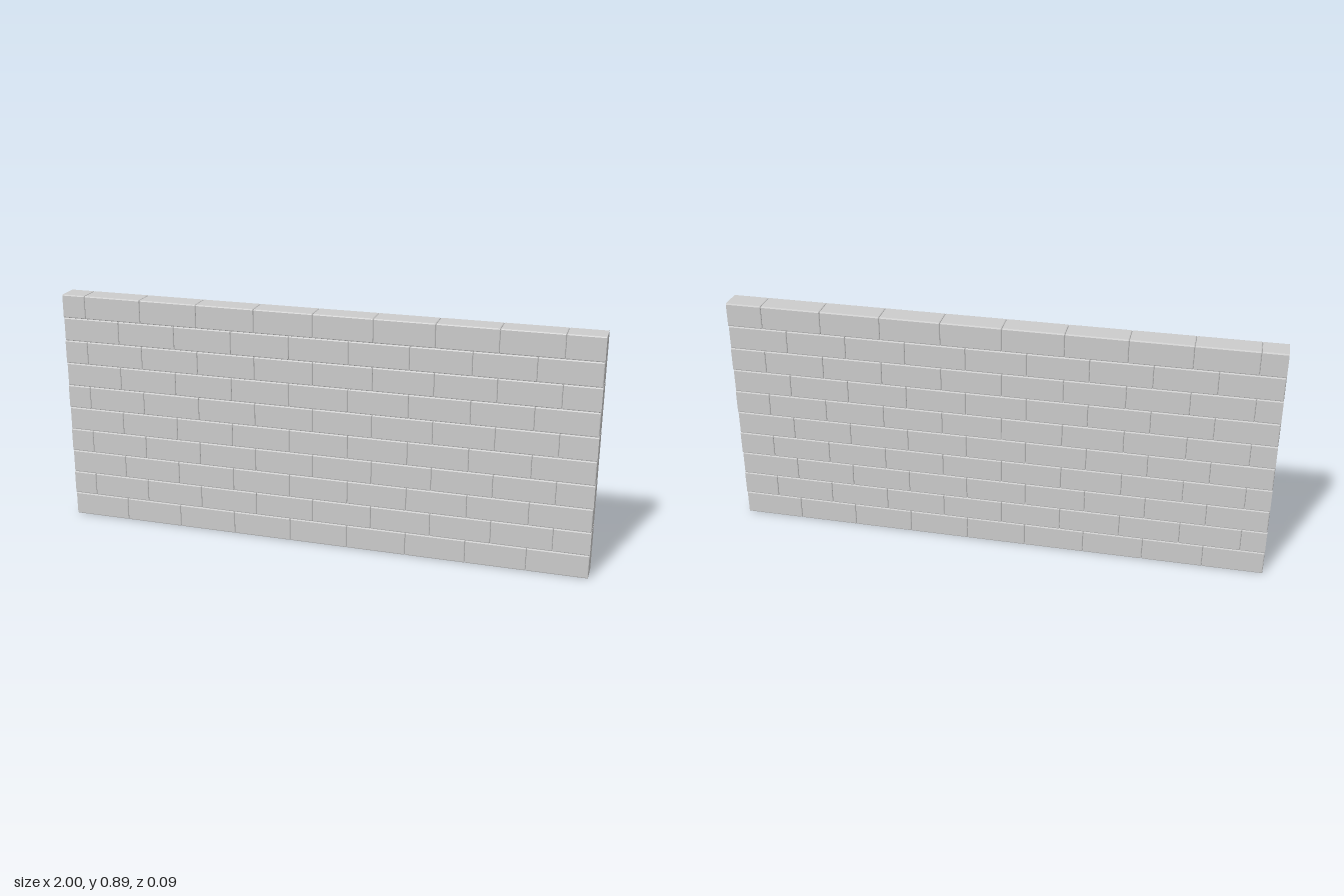
import * as THREE from 'three';
import { RoundedBoxGeometry } from 'three/addons/geometries/RoundedBoxGeometry.js';

const LENGTH = 2, ROWS = 10, BRICKS = 9;
const W = LENGTH / BRICKS, H = 0.0889, D = 0.087, BEVEL = 0.004;
const OFFSET = 0.09; // width of the cut brick that starts every second course

export function createModel() {
  const wall = new THREE.Group();
  wall.name = 'brickWall';
  const material = new THREE.MeshStandardMaterial({ color: 0xcccccc, flatShading: true });

  // Brick with bevelled edges; anything past the wall's end is cut off flat
  const brickGeometry = (centerX) => {
    const geo = new RoundedBoxGeometry(W, H, D, 1, BEVEL);
    const pos = geo.attributes.position;
    for (let i = 0; i < pos.count; i++) {
      const x = THREE.MathUtils.clamp(pos.getX(i) + centerX, -LENGTH / 2, LENGTH / 2);
      pos.setX(i, x - centerX);
    }
    geo.computeVertexNormals();
    return geo;
  };

  // Two kinds of course: whole bricks, and shifted bricks cut at both ends
  const makeCourse = (start, count) => {
    const bricks = [];
    for (let i = 0; i < count; i++) {
      const x = start + (i + 0.5) * W;
      bricks.push({ x, geo: brickGeometry(x) });
    }
    return bricks;
  };
  const courses = [
    makeCourse(-LENGTH / 2, BRICKS),
    makeCourse(-LENGTH / 2 + OFFSET - W, BRICKS + 1),
  ];

  // Stack the courses in running bond
  for (let row = 0; row < ROWS; row++) {
    const course = new THREE.Group();
    course.name = `course${row + 1}`;
    course.position.y = (row + 0.5) * H;
    for (const { x, geo } of courses[row % 2]) {
      const brick = new THREE.Mesh(geo, material);
      brick.name = 'brick';
      brick.position.x = x;
      course.add(brick);
    }
    wall.add(course);
  }
  return wall;
}
